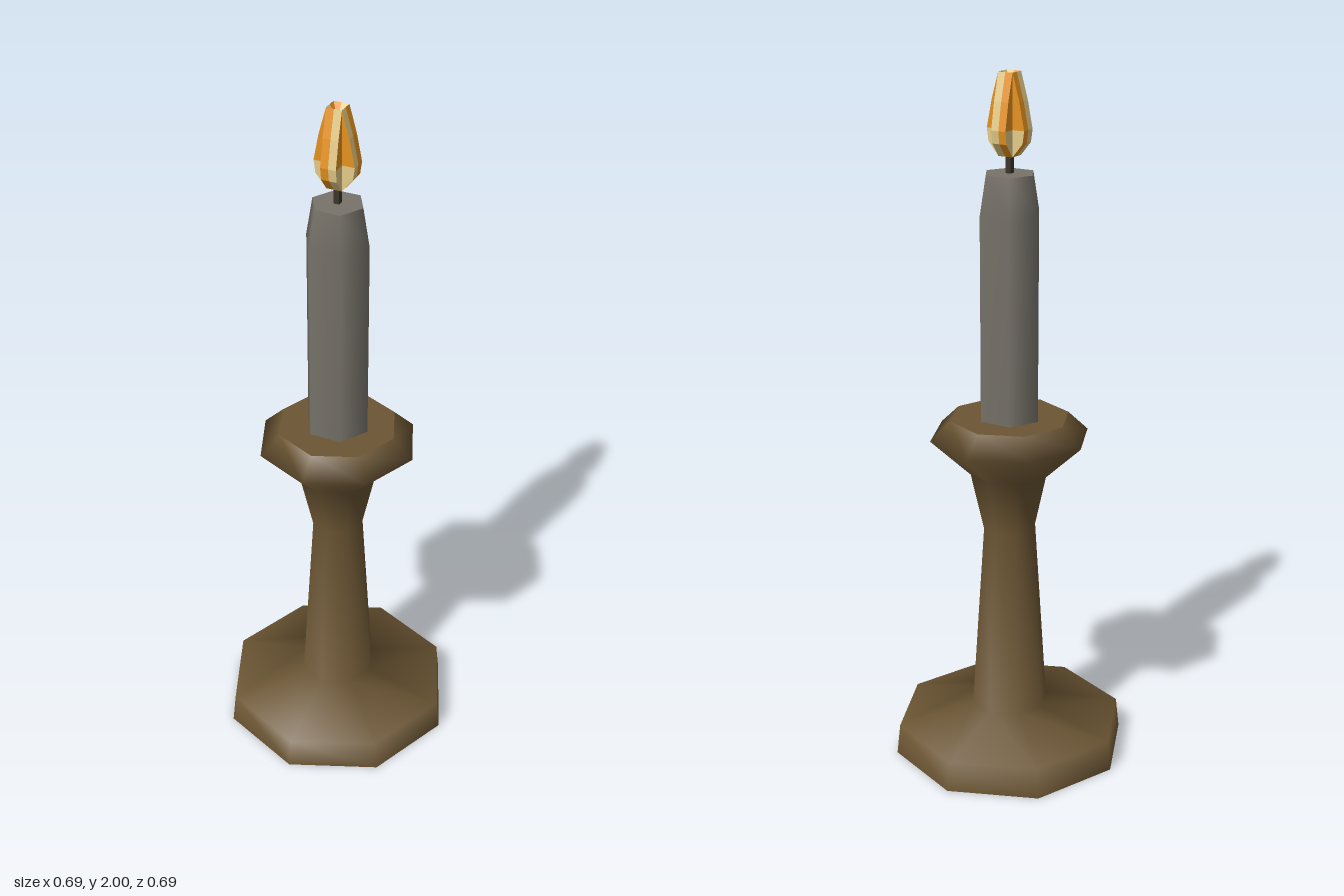
import * as THREE from 'three';

const mat = (name, color, side = THREE.FrontSide) => {
  const m = new THREE.MeshStandardMaterial({ color, side });
  m.name = name;
  return m;
};

export function createModel() {
  const model = new THREE.Group();
  model.name = 'candlestick';
  const brass = mat('brownBrass', 0x6b5533);
  const wax = mat('greyWax', 0x77736a);
  const char = mat('charredWick', 0x3a352c);
  const orange = mat('flameOrange', 0xe6921e, THREE.DoubleSide);
  const pale = mat('flamePale', 0xe4cb88, THREE.DoubleSide);

  const add = (name, geometry, material, parent = model) => {
    const mesh = new THREE.Mesh(geometry, material);
    mesh.name = name;
    parent.add(mesh);
    return mesh;
  };
  const turned = (name, profile, sides, start, material) =>
    add(name, new THREE.LatheGeometry(profile.map(p => new THREE.Vector2(...p)), sides, start), material);
  // flat disc facing up (1) or down (-1)
  const disc = (name, radius, sides, y, up, material) => {
    const mesh = add(name, new THREE.CircleGeometry(radius, sides), material);
    mesh.rotation.x = -up * Math.PI / 2;
    mesh.position.y = y;
  };

  // Octagonal holder with foot, stem and cup
  turned('holder', [[0.345, 0], [0.335, 0.09], [0.112, 0.145], [0.076, 0.7],
    [0.114, 0.87], [0.23, 0.98], [0.172, 1.036]], 8, 0, brass);
  disc('holderBottom', 0.345, 8, 0, -1, brass);
  disc('holderCupTop', 0.172, 8, 1.036, 1, brass);

  // Hexagonal candle with tapered shoulder
  turned('candle', [[0.092, 1.03], [0.092, 1.62], [0.073, 1.73]], 6, Math.PI / 2, wax);
  disc('candleTop', 0.073, 6, 1.73, 1, wax);

  const wick = add('wick', new THREE.BoxGeometry(0.016, 0.08, 0.016), char);
  wick.position.y = 1.76;

  // Flame: four petals in a cross, each with a two-tone outer edge
  const flame = new THREE.Group();
  flame.name = 'flame';
  model.add(flame);
  const w = 0.022;
  const levels = [[w, 1.777], [0.053, 1.815], [0.058, 1.85], [0.043, 1.925], [w, 2]];
  const faces = { orange: [], pale: [] };
  for (let arm = 0; arm < 4; arm++) {
    const dx = [1, 0, -1, 0][arm], dz = [0, 1, 0, -1][arm];
    // r outward along the arm, t across it
    const at = (r, t, y) => [dx * r - dz * t, y, dz * r + dx * t];
    const tri = (tone, a, b, c) => faces[tone].push(...a, ...b, ...c);
    const quad = (tone, a, b, c, d) => { tri(tone, a, b, c); tri(tone, a, c, d); };
    for (const s of [-1, 1]) {
      const half = at(0.05, s * w / 2, 0);
      const tone = (dx ? half[2] : half[0]) < 0 ? 'orange' : 'pale';
      const order = (...p) => (s > 0 ? p : p.reverse());
      for (let i = 0; i < levels.length - 1; i++) {
        const [r0, y0] = levels[i], [r1, y1] = levels[i + 1];
        // outer edge strip
        quad(tone, ...order(at(r0, 0, y0), at(r1, 0, y1), at(r1, s * w, y1), at(r0, s * w, y0)));
        // petal side, pale below and orange above
        quad(i < 2 ? 'pale' : 'orange',
          ...order(at(r0, s * w, y0), at(r1, s * w, y1), at(w, s * w, y1), at(w, s * w, y0)));
      }
      // hollow tip and flat underside
      tri(tone, ...order(at(w, 0, 2), at(0, 0, 1.96), at(w, s * w, 2)));
      tri('pale', ...order(at(w, 0, 1.777), at(w, s * w, 1.777), at(0, 0, 1.777)));
    }
  }
  for (const [tone, material] of [['orange', orange], ['pale', pale]]) {
    const g = new THREE.BufferGeometry();
    g.setAttribute('position', new THREE.Float32BufferAttribute(faces[tone], 3));
    g.computeVertexNormals();
    add(tone + 'FlameFaces', g, material, flame);
  }
  return model;
}
